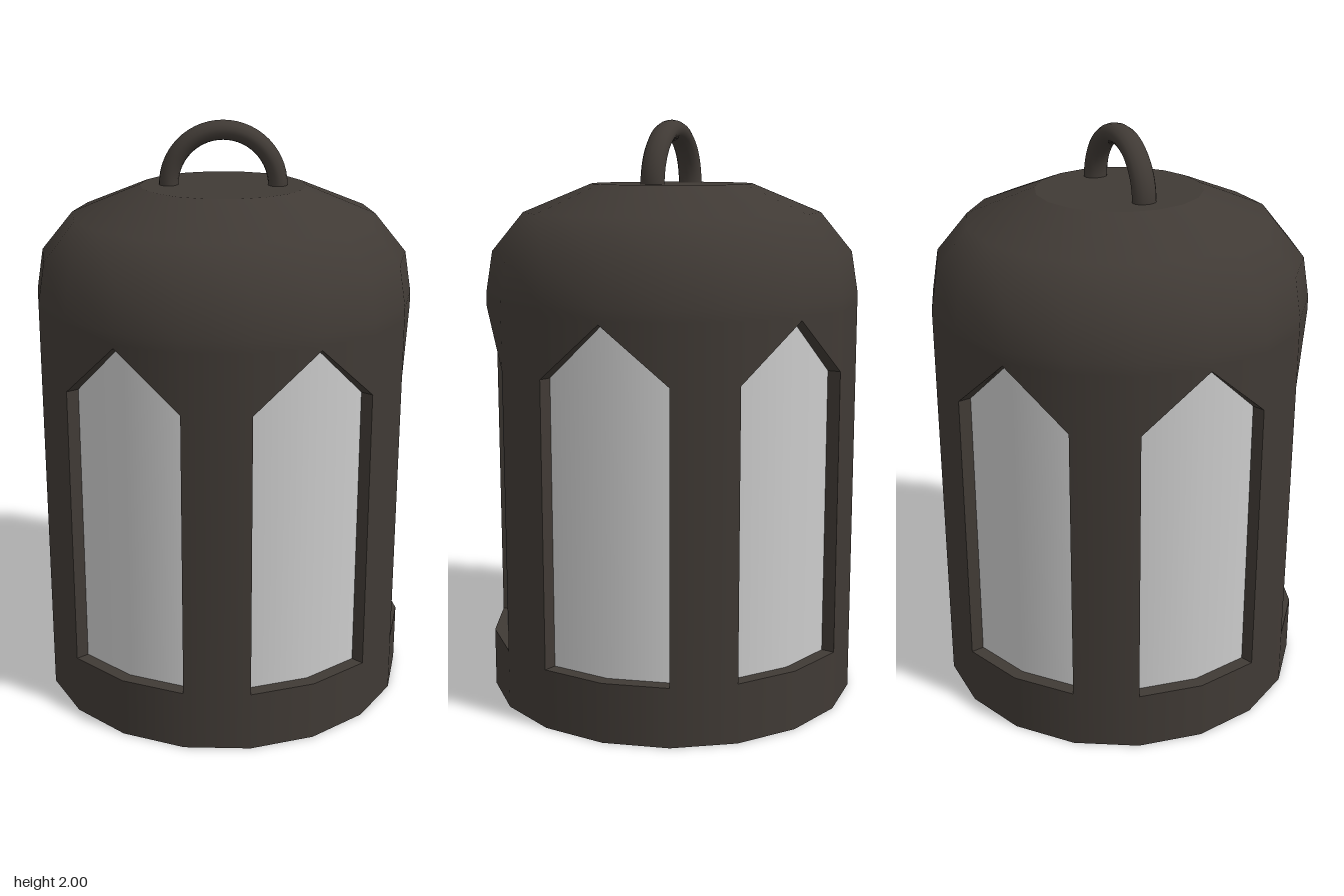
import * as THREE from 'three';

const SIDES = 18, R = 0.645, INNER = 0.6;
const SILL = 0.205, SPRING = 1.18, APEX = 1.37, WALL_TOP = 1.38;

const metal = new THREE.MeshStandardMaterial({ color: 0x403a35 });
const metalTwoSided = new THREE.MeshStandardMaterial({ color: 0x403a35, side: THREE.DoubleSide });
const grey = new THREE.MeshStandardMaterial({ color: 0xcccccc });

function add(group, name, geometry, material) {
  const mesh = new THREE.Mesh(geometry, material);
  mesh.name = name;
  group.add(mesh);
  return mesh;
}

// Revolved surface whose corners line up with the +x axis
function lathe(points) {
  return new THREE.LatheGeometry(points.map(p => new THREE.Vector2(...p)), SIDES, Math.PI / 2);
}

// Pillars and pointed window heads: one block per side of the prism
function wallGeometry() {
  const positions = [], outer = [];
  const at = (r, a, y) => [r * Math.cos(a), y, r * Math.sin(a)];
  const quad = (a, b, c, d, isOuter = false) => {
    for (const p of [a, b, c, a, c, d]) {
      positions.push(...p);
      outer.push(isOuter);
    }
  };
  const step = Math.PI * 2 / SIDES;
  for (let k = 0; k < SIDES; k++) {
    const a = k * step, b = a + step;
    // Each group of three sides: falling window half, pillar, rising window half
    const [ya, yb] = [[APEX, SPRING], [SILL, SILL], [SPRING, APEX]][k % 3];
    quad(at(R, b, yb), at(R, a, ya), at(R, a, WALL_TOP), at(R, b, WALL_TOP), true);
    if (k % 3 === 1) {
      // Window jambs
      quad(at(R, a, ya), at(INNER, a, ya), at(INNER, a, SPRING), at(R, a, SPRING));
      quad(at(INNER, b, yb), at(R, b, yb), at(R, b, SPRING), at(INNER, b, SPRING));
    } else {
      // Sloping underside of the pointed head
      quad(at(R, a, ya), at(R, b, yb), at(INNER, b, yb), at(INNER, a, ya));
    }
  }
  const geo = new THREE.BufferGeometry();
  geo.setAttribute('position', new THREE.Float32BufferAttribute(positions, 3));
  geo.computeVertexNormals();
  // Outer faces shade as one smooth round wall
  const pos = geo.attributes.position;
  outer.forEach((isOuter, i) => {
    if (isOuter) geo.attributes.normal.setXYZ(i, pos.getX(i) / R, 0, pos.getZ(i) / R);
  });
  return geo;
}

export function createModel() {
  const lantern = new THREE.Group();
  lantern.name = 'lantern';

  // Base band, window sill and underside
  add(lantern, 'baseBand', lathe([[R, 0], [R, SILL]]), metalTwoSided);
  const sill = add(lantern, 'windowSill', new THREE.RingGeometry(INNER - 0.02, R, SIDES), metal);
  sill.rotation.x = -Math.PI / 2;
  sill.position.y = SILL;
  const underside = add(lantern, 'underside', new THREE.CircleGeometry(R, SIDES), grey);
  underside.rotation.x = Math.PI / 2;

  // Glass cylinder behind the windows
  const glassHeight = 1.25;
  const glass = add(lantern, 'glass',
    new THREE.CylinderGeometry(INNER, INNER, glassHeight, SIDES, 1, true, Math.PI / 2), grey);
  glass.position.y = 0.15 + glassHeight / 2;

  add(lantern, 'windowWall', wallGeometry(), metal);

  // Domed roof with a flat top
  add(lantern, 'dome', lathe([[R, WALL_TOP], [R, 1.42], [0.622, 1.56], [0.515, 1.69], [0.282, 1.785]]),
    metalTwoSided);
  const cap = add(lantern, 'domeTop', new THREE.CircleGeometry(0.282, SIDES), metal);
  cap.rotation.x = -Math.PI / 2;
  cap.position.y = 1.785;

  // Half-ring carrying handle, slightly wider front to back
  const handle = add(lantern, 'handle', new THREE.TorusGeometry(0.184, 0.033, 14, 28, Math.PI), metal);
  handle.scale.z = 1.25;
  handle.position.y = 1.783;

  return lantern;
}
